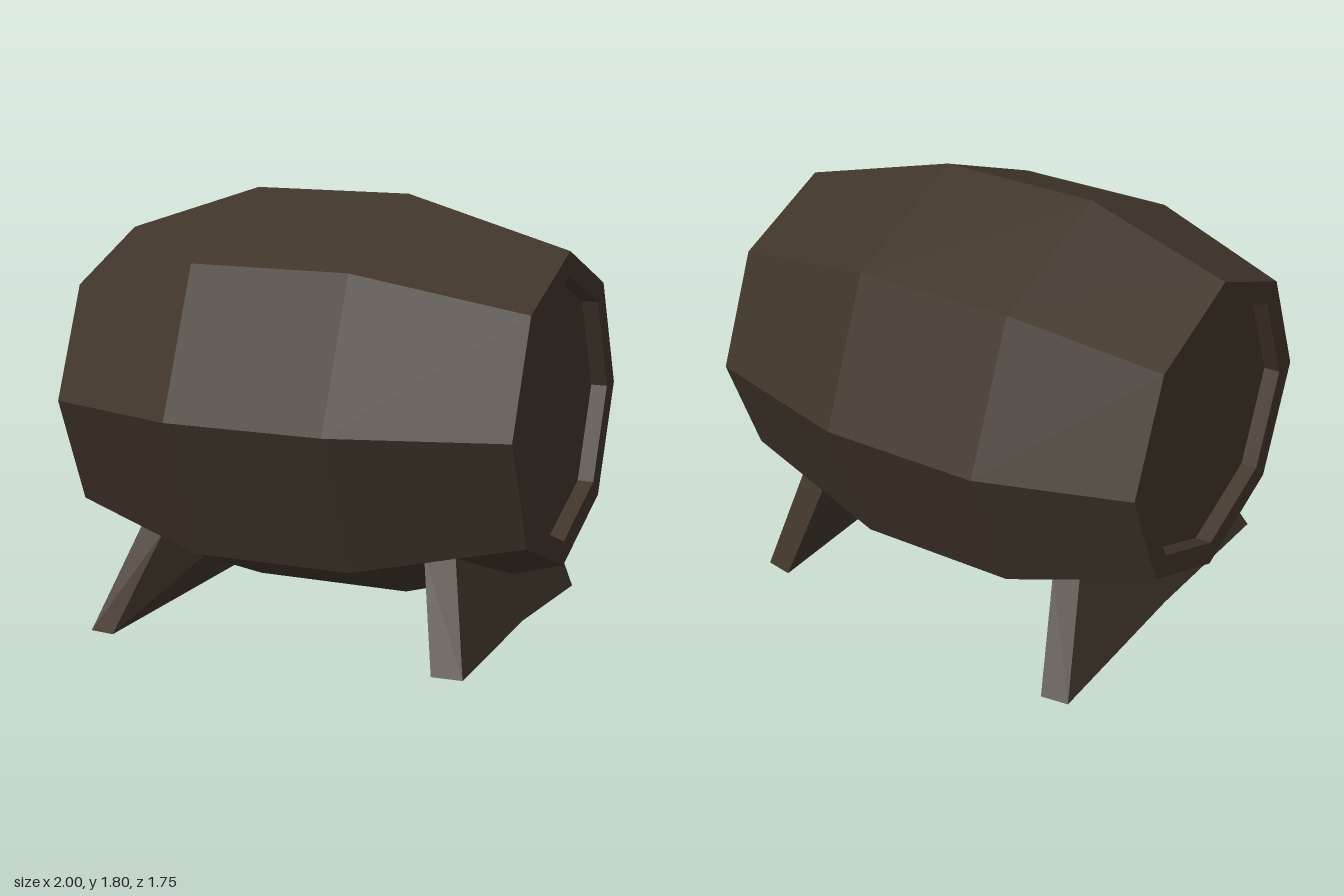
import * as THREE from 'three';

const CENTRE_Y = 0.945;
const V = (x, y, z) => [x, y, z];

// Unshared corners give each facet its own flat normal
function faceted(geometry) {
  const g = geometry.index ? geometry.toNonIndexed() : geometry;
  g.computeVertexNormals();
  return g;
}

// Splayed leg lofted through front, middle and back sections;
// each section lists outer bottom, inner bottom, inner top, outer top
function legGeometry(sections, mirror) {
  const pos = [];
  const quad = (a, b, c, d) => {
    const corners = mirror ? [a, c, b, a, d, c] : [a, b, c, a, c, d];
    for (const [x, y, z] of corners) pos.push(mirror ? -x : x, y, z);
  };
  for (let i = 0; i < sections.length - 1; i++) {
    const a = sections[i], b = sections[i + 1];
    for (let j = 0; j < 4; j++) {
      const k = (j + 1) % 4;
      quad(a[j], a[k], b[k], b[j]);
    }
  }
  const f = sections[0], l = sections[sections.length - 1];
  quad(f[0], f[3], f[2], f[1]);
  quad(l[0], l[1], l[2], l[3]);
  const g = new THREE.BufferGeometry();
  g.setAttribute('position', new THREE.Float32BufferAttribute(pos, 3));
  return faceted(g);
}

export function createModel() {
  const group = new THREE.Group();
  const wood = new THREE.MeshStandardMaterial({ color: 0x40352a, flatShading: true });
  wood.name = 'darkWood';
  const add = (name, geometry) => {
    const mesh = new THREE.Mesh(geometry, wood);
    mesh.name = name;
    group.add(mesh);
    return mesh;
  };

  // Eight-sided staves with rims turned in at both ends
  const profile = [
    [0.565, -0.93], [0.565, -1], [0.67, -1], [0.875, -0.39],
    [0.875, 0.3], [0.67, 1], [0.565, 1], [0.565, 0.93],
  ].map(([r, h]) => new THREE.Vector2(r, h));
  const body = new THREE.LatheGeometry(profile, 8);
  body.rotateZ(-Math.PI / 2);
  body.scale(1, 0.977, 1);
  body.translate(0, CENTRE_Y, 0);
  add('barrelStaves', faceted(body));

  // Recessed heads
  for (const side of [1, -1]) {
    const head = new THREE.CircleGeometry(0.565, 8);
    head.rotateY(side * Math.PI / 2);
    head.scale(1, 0.977, 1);
    head.translate(side * 0.93, CENTRE_Y, 0);
    add(side > 0 ? 'leftHead' : 'rightHead', faceted(head));
  }

  // Legs, thicker towards the middle on the inner side
  add('leftLeg', legGeometry([
    [V(0.835, 0, 0.73), V(0.71, 0.005, 0.75), V(0.595, 0.43, 0.54), V(0.725, 0.43, 0.53)],
    [V(0.83, 0.03, 0), V(0.71, 0.01, 0), V(0.4, 0.42, 0), V(0.725, 0.43, 0)],
    [V(0.835, 0, -0.66), V(0.71, 0.005, -0.69), V(0.595, 0.43, -0.54), V(0.725, 0.43, -0.53)],
  ], false));
  add('rightLeg', legGeometry([
    [V(0.805, 0, 0.77), V(0.69, 0.005, 0.795), V(0.575, 0.4, 0.55), V(0.685, 0.42, 0.53)],
    [V(0.8, 0.02, 0), V(0.69, 0.005, 0), V(0.36, 0.42, 0), V(0.685, 0.42, 0)],
    [V(0.805, 0, -0.81), V(0.69, 0.005, -0.83), V(0.575, 0.4, -0.56), V(0.685, 0.42, -0.53)],
  ], true));

  return group;
}
